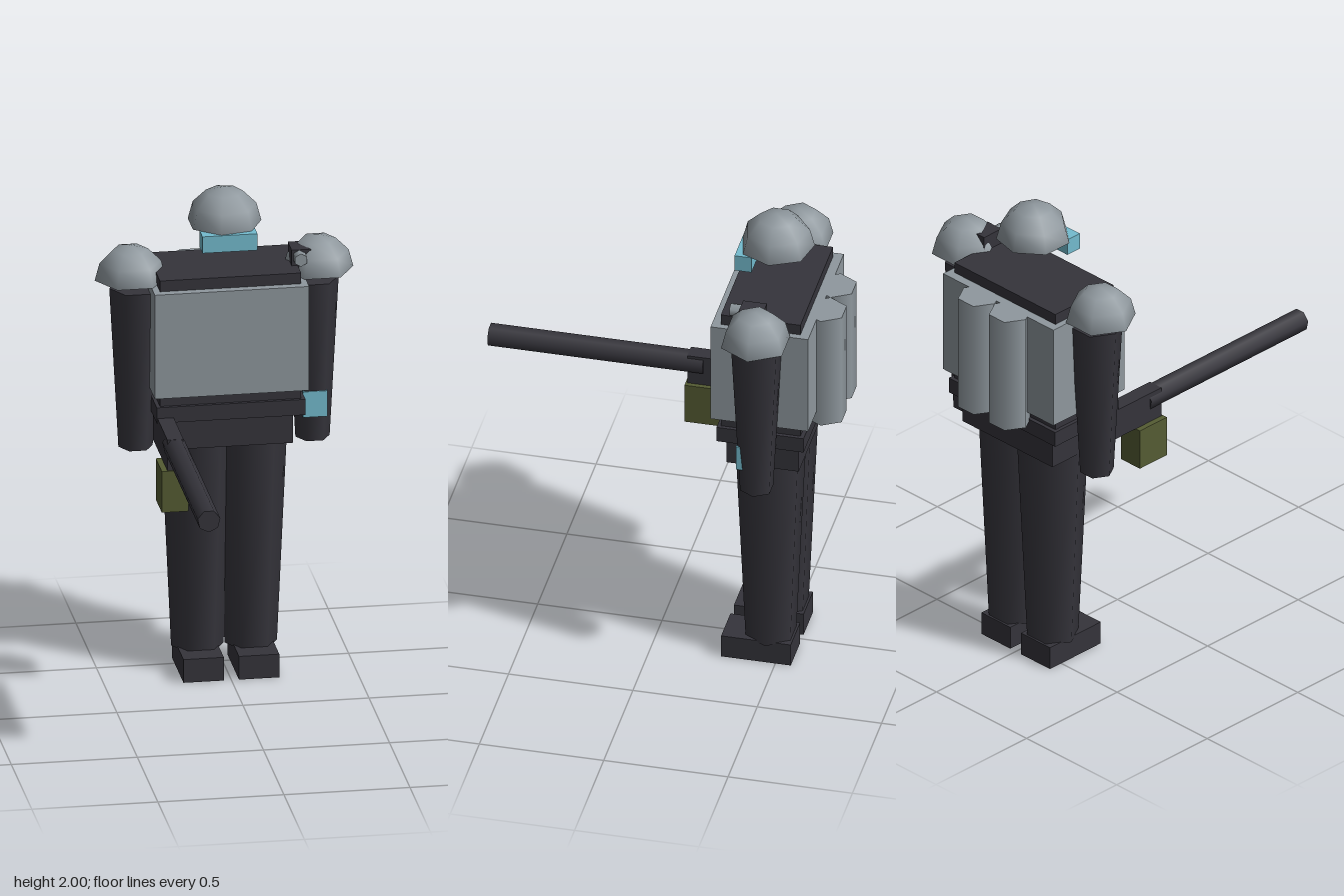
import * as THREE from 'three';

const paint = (name, color) => {
  const m = new THREE.MeshStandardMaterial({ color });
  m.name = name;
  return m;
};

export function createModel() {
  const armour = paint('armourGrey', 0x8f989e);
  const suit = paint('suitCharcoal', 0x35343b);
  const glow = paint('visorCyan', 0x74bccf);
  const olive = paint('magazineOlive', 0x555c33);
  const root = new THREE.Group();
  root.name = 'armouredSoldier';
  const Z = -0.463; // body centre line

  const add = (name, geo, mat, x = 0, y = 0, z = 0) => {
    const mesh = new THREE.Mesh(geo, mat);
    mesh.name = name;
    mesh.position.set(x, y, z);
    root.add(mesh);
    return mesh;
  };
  // Box given by its minimum and maximum corners
  const box = (name, mat, [x0, y0, z0], [x1, y1, z1]) =>
    add(name, new THREE.BoxGeometry(x1 - x0, y1 - y0, z1 - z0), mat,
      (x0 + x1) / 2, (y0 + y1) / 2, (z0 + z1) / 2);
  // Upright six-sided limb or tank with corners on the x axis
  const hex = (name, mat, rTop, rBottom, y0, y1, x, z) =>
    add(name, new THREE.CylinderGeometry(rTop, rBottom, y1 - y0, 6).rotateY(Math.PI / 6),
      mat, x, (y0 + y1) / 2, z);
  // Low-poly half sphere closed underneath
  const dome = (name, r, sides, x, y) => {
    const shell = new THREE.SphereGeometry(r, sides, 3, 0, Math.PI * 2, 0, Math.PI / 2);
    add(name, shell.rotateY(Math.PI), armour, x, y, Z);
    add(name + 'Underside', new THREE.CircleGeometry(r, sides).rotateX(Math.PI / 2),
      armour, x, y, Z);
  };

  // Head
  dome('helmet', 0.148, 7, 0, 1.85);
  box('visor', glow, [-0.109, 1.78, -0.385], [0.109, 1.849, -0.317]);

  // Trunk
  box('torso', suit, [-0.28, 1.12, -0.622], [0.28, 1.68, -0.302]);
  box('chestArmour', armour, [-0.306, 1.2, -0.659], [0.306, 1.635, -0.267]);
  box('belt', suit, [-0.295, 1.09, -0.638], [0.295, 1.155, -0.288]);
  box('pelvis', suit, [-0.25, 0.965, -0.608], [0.25, 1.09, -0.318]);

  // Mirrored limbs, shoulder pads and back tanks
  for (const [side, s] of [['left', 1], ['right', -1]]) {
    hex(side + 'Leg', suit, 0.144, 0.104, 0.09, 0.97, s * 0.106, Z);
    box(side + 'Foot', suit, [s * 0.11 - 0.08, 0, -0.562], [s * 0.11 + 0.08, 0.097, -0.282]);
    hex(side + 'Arm', suit, 0.104, 0.068, 0.935, 1.6, s * 0.351, Z);
    dome(side + 'ShoulderPad', 0.141, 6, s * 0.372, 1.636);
    hex(side + 'BackTank', armour, 0.086, 0.086, 1.142, 1.635, s * 0.086, -0.678);
  }

  // Wrist display on the left forearm
  box('wristDisplay', glow, [0.302, 1.04, -0.44], [0.398, 1.147, -0.39]);

  // Shoulder lamp
  box('lampHousing', suit, [0.256, 1.66, -0.482], [0.332, 1.745, -0.386]);
  add('lampLens', new THREE.CylinderGeometry(0.027, 0.027, 0.05, 6).rotateX(Math.PI / 2),
    armour, 0.286, 1.717, -0.368);

  // Rifle
  box('rifleReceiver', suit, [-0.292, 0.982, -0.4], [-0.228, 1.11, -0.048]);
  add('rifleBarrel', new THREE.CylinderGeometry(0.046, 0.046, 0.865, 7).rotateX(Math.PI / 2),
    suit, -0.257, 1.068, 0.32);
  box('rifleMagazine', olive, [-0.315, 0.81, -0.19], [-0.209, 0.982, -0.041]);

  return root;
}
